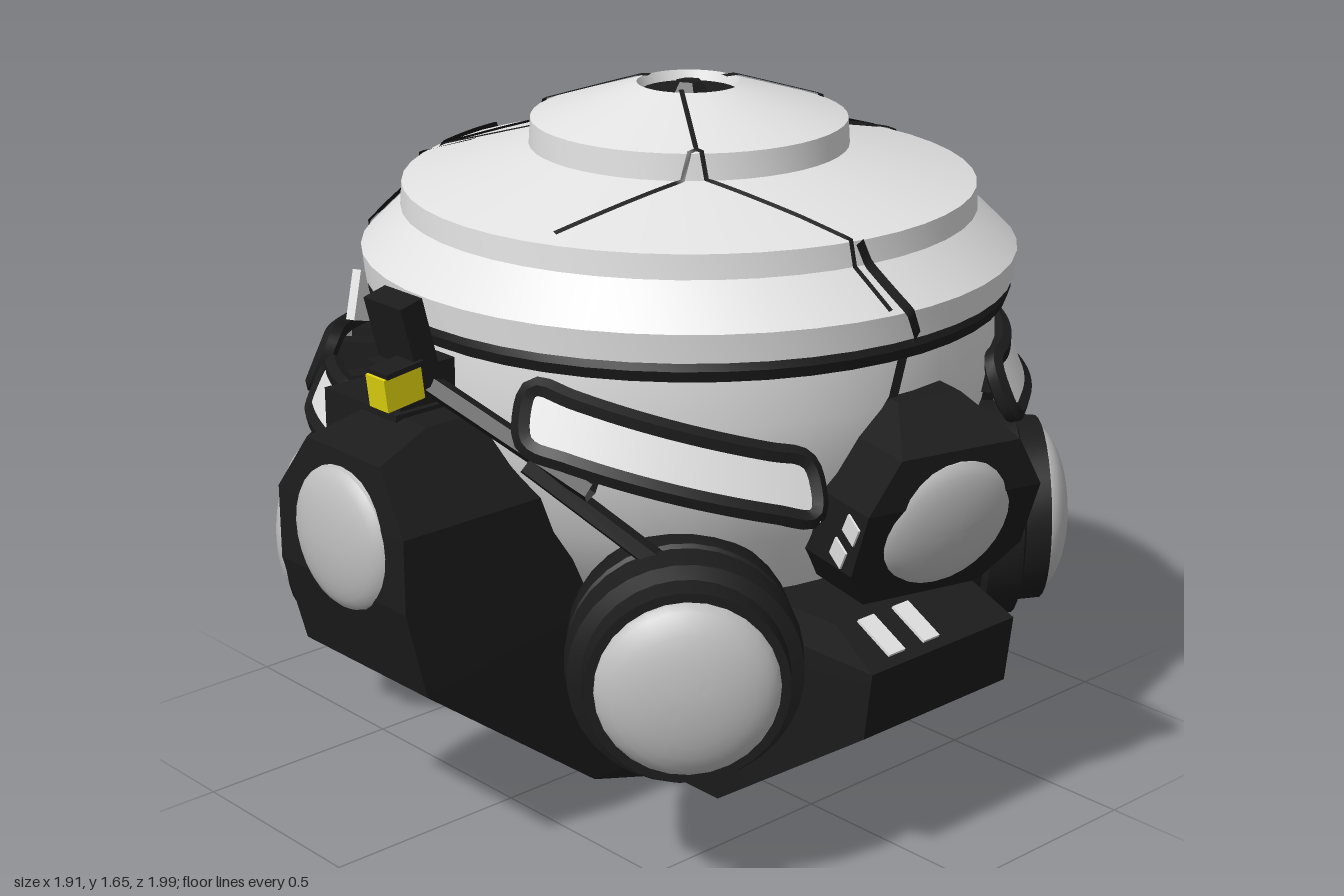
import * as THREE from 'three';
import { toCreasedNormals } from 'three/addons/utils/BufferGeometryUtils.js';

const mat = (name, color) => new THREE.MeshStandardMaterial({ name, color, side: THREE.DoubleSide });
const CX = 0.03, CZ = -0.04; // axis of the shell

// Outer silhouette of the shell, [radius, height], bottom to top
const LOWER = [[0.42, 0.5], [0.54, 0.62], [0.63, 0.76], [0.69, 0.92], [0.715, 1.06], [0.71, 1.18]];
const DOME = [[0.72, 1.2], [0.75, 1.215], [0.757, 1.28], [0.664, 1.37], [0.66, 1.425], [0.368, 1.505], [0.364, 1.565], [0.12, 1.643]];
const SHELL = [...LOWER, ...DOME];

// Interpolate column `to` of the silhouette from column `from`
function lookup(list, v, from, to) {
  for (let i = 1; i < list.length; i++) {
    const a = list[i - 1], b = list[i], k = (v - a[from]) / (b[from] - a[from]);
    if (k >= 0 && k <= 1) return a[to] + (b[to] - a[to]) * k;
  }
  return v < list[0][from] ? list[0][to] : list[list.length - 1][to];
}

export function createModel() {
  const root = new THREE.Group();
  const white = mat('offWhiteShell', 0xe2e2e2);
  const grey = mat('paleGreyLens', 0xc0c0c0);
  const dark = mat('charcoal', 0x1c1c1c);
  const yellow = mat('yellowLamp', 0xe0d410);

  function add(parent, name, geo, material, crease = 0.45) {
    const m = new THREE.Mesh(crease ? toCreasedNormals(geo, crease) : geo, material);
    m.name = name;
    parent.add(m);
    return m;
  }
  function addBox(parent, name, size, at, material, turn = [0, 0, 0]) {
    const m = add(parent, name, new THREE.BoxGeometry(...size), material);
    m.position.set(...at);
    m.rotation.set(...turn);
  }
  const group = (parent, name) => {
    const g = new THREE.Group();
    g.name = name;
    parent.add(g);
    return g;
  };
  const lathe = (pts, seg = 48) => new THREE.LatheGeometry(pts.map(p => new THREE.Vector2(...p)), seg);

  // Shell: body, stepped dome, belt, top vent
  const shell = group(root, 'shell');
  shell.position.set(CX, 0, CZ);
  add(shell, 'body', lathe(LOWER), white);
  add(shell, 'dome', lathe([...DOME.slice(1), [0.105, 1.6]]), white, 0.25);
  add(shell, 'belt', lathe([[0.7, 1.165], [0.738, 1.17], [0.746, 1.195], [0.738, 1.217], [0.7, 1.22]]), dark);
  add(shell, 'topVent', new THREE.CylinderGeometry(0.115, 0.115, 0.03, 32).translate(0, 1.605, 0), dark);
  add(shell, 'topVentHub', new THREE.CylinderGeometry(0.03, 0.05, 0.03, 6).translate(0, 1.63, 0), dark);
  add(root, 'underside', lathe([[0, 0.02], [0.3, 0.07], [0.5, 0.28], [0.5, 0.48], [0.4, 0.6]], 8), dark, 0.1);

  // Thin ribbon laid over the shell through the given surface points
  function ribbon(name, pts, width) {
    const pos = [], idx = [], hub = new THREE.Vector3(0, 0.95, 0);
    pts.forEach((p, i) => {
      const n = p.clone().sub(hub).normalize();
      const t = pts[Math.min(i + 1, pts.length - 1)].clone().sub(pts[Math.max(i - 1, 0)]);
      const s = t.cross(n).normalize().multiplyScalar(width / 2);
      const q = p.clone().addScaledVector(n, 0.006);
      pos.push(...q.clone().add(s).toArray(), ...q.clone().sub(s).toArray());
      const a = i * 2;
      if (i) idx.push(a - 2, a - 1, a, a - 1, a + 1, a);
    });
    const g = new THREE.BufferGeometry();
    g.setAttribute('position', new THREE.Float32BufferAttribute(pos, 3));
    g.setIndex(idx);
    g.computeVertexNormals();
    add(shell, name, g, dark, 0);
  }
  function trace(path, map) {
    const out = [];
    for (let i = 1; i < path.length; i++)
      for (let k = i > 1 ? 1 : 0; k <= 20; k++)
        out.push(map(...path[i].map((v, j) => path[i - 1][j] + (v - path[i - 1][j]) * k / 20)));
    return out;
  }
  // Dome cracks as plan points [x, z]
  const onDome = (x, z) => {
    const r = Math.hypot(x - CX, z - CZ);
    return new THREE.Vector3(x - CX, lookup(DOME.slice(2).reverse(), r, 0, 1), z - CZ);
  };
  [[0.026, [[-0.06, 0], [-0.3, 0.11], [-0.54, 0.23]]],
    [0.022, [[-0.54, 0.23], [-0.62, 0.02], [-0.69, -0.17]]],
    [0.024, [[0.06, -0.12], [0.12, -0.45], [0.06, -0.62], [0.04, -0.78]]],
    [0.018, [[0.06, -0.62], [-0.17, -0.38], [-0.33, -0.14], [-0.54, 0.23]]],
    [0.011, [[0.1, 0.05], [0.3, 0.19], [0.24, 0.54]]],
    [0.011, [[0.3, 0.19], [0.55, 0.12], [0.77, 0.07]]],
  ].forEach(([w, path]) => ribbon('domeCrack', trace(path, onDome), w));
  // Side cracks as [degrees from the front, height]
  const onSide = (deg, y) => {
    const a = THREE.MathUtils.degToRad(deg), r = lookup(SHELL, y, 1, 0);
    return new THREE.Vector3(Math.sin(a) * r, y, Math.cos(a) * r);
  };
  [[0.05, [[-62, 1.46], [-52, 1.3], [-49, 1.2]]],
    [0.09, [[-49, 1.2], [-44, 1.08], [-43, 0.95]]],
    [0.025, [[80, 1.42], [88, 1.2], [84, 1.05]]],
    [0.03, [[178, 1.3], [174, 1.18], [168, 0.95]]],
    [0.025, [[-100, 1.3], [-108, 1.15], [-112, 0.95]]],
  ].forEach(([w, path]) => ribbon('sideCrack', trace(path, onSide), w));
  // Loose shell piece beside the wide crack
  addBox(root, 'shellShard', [0.17, 0.12, 0.02], [-0.6, 1.09, 0.44], white, [-0.15, -0.9, 0.2]);

  // Tapered block from rows [height, outer, inner, half width]
  function block(rows) {
    const n = rows.length - 1, g = new THREE.BoxGeometry(1, 1, 1, 1, n, 1), p = g.attributes.position;
    for (let i = 0; i < p.count; i++) {
      const [y, out, inn, hw] = rows[Math.round((0.5 - p.getY(i)) * n)];
      p.setXYZ(i, Math.sign(p.getX(i)) * hw, y, p.getZ(i) > 0 ? out : inn);
    }
    return g;
  }
  const cap = (r, h) => new THREE.SphereGeometry(1, 28, 8, 0, Math.PI * 2, 0, Math.PI / 2).scale(r, h, r);

  // Four arms folded under the shell; the right one is snapped in two and twisted
  // lens is [height, reach, downward tilt]
  const ARMS = [
    { name: 'front', deg: 0, x: 0.01, yaw: 0, lens: [0.79, 0.955, 0], rows: [[1.03, 0.8, 0.62, 0.1], [0.985, 0.95, 0.6, 0.13],
      [0.85, 0.965, 0.58, 0.225], [0.68, 0.965, 0.5, 0.225], [0.47, 0.91, 0.4, 0.22], [0.1, 0.42, 0.1, 0.2], [0, 0.12, 0, 0.17]] },
    { name: 'right', deg: 90, x: 0.06, yaw: -0.25, lens: [0.82, 0.875, 0.28], rows: [[1.08, 0.8, 0.62, 0.08], [1, 0.93, 0.58, 0.15],
      [0.88, 0.915, 0.55, 0.22], [0.72, 0.85, 0.5, 0.22], [0.62, 0.79, 0.48, 0.15]] },
    { name: 'back', deg: 180, x: 0, yaw: 0, lens: [0.84, 0.935, 0.14], rows: [[1.04, 0.82, 0.62, 0.1], [1, 0.945, 0.6, 0.15],
      [0.88, 0.955, 0.58, 0.22], [0.66, 0.91, 0.5, 0.22], [0.45, 0.82, 0.4, 0.22], [0.17, 0.52, 0.1, 0.2], [0.02, 0.25, 0, 0.17]] },
    { name: 'left', deg: 270, x: -0.035, yaw: 0, lens: [0.85, 0.885, 0.2], rows: [[1.03, 0.74, 0.6, 0.1], [0.98, 0.87, 0.58, 0.15],
      [0.88, 0.905, 0.56, 0.22], [0.66, 0.86, 0.5, 0.22], [0.45, 0.82, 0.4, 0.22], [0.1, 0.36, 0.1, 0.2], [0.02, 0.12, 0, 0.17]] },
  ];
  const PIVOT = 0.7;
  ARMS.forEach(({ name, deg, x, yaw, lens: [y, z, tilt], rows }) => {
    const arm = group(root, name + 'Arm');
    arm.rotation.y = THREE.MathUtils.degToRad(deg);
    const head = group(arm, 'armHead');
    head.position.set(x, 0, PIVOT);
    head.rotation.y = yaw;
    add(head, 'armBody', block(rows), dark, 0.1).position.z = -PIVOT;
    const lens = add(head, 'armLens', cap(0.163, 0.05), grey);
    lens.position.set(0, y, z - PIVOT);
    lens.rotation.x = Math.PI / 2 + tilt;
    // Chipped paint on the damaged arms
    if (name === 'right' || name === 'back')
      [[0.83, 0.85], [0.76, 0.8]].forEach(([cy, cz]) => addBox(head, 'paintChip', [0.008, 0.05, 0.05], [-0.221, cy, cz - PIVOT], white, [0.5, 0, 0]));
    if (name !== 'right') return;
    const lower = [[0.59, 0.74, 0.4, 0.21], [0.52, 0.87, 0.4, 0.23], [0.36, 0.85, 0.3, 0.23], [0.02, 0.36, 0.1, 0.2], [0, 0.1, 0, 0.17]];
    add(arm, 'armLowerHalf', block(lower), dark, 0.1).position.x = 0.03;
    [-0.1, 0.01].forEach(cx => addBox(arm, 'paintChip', [0.05, 0.008, 0.11], [cx, 0.561, 0.8], white, [0.49, 0, 0]));
  });

  // Four diagonal thrusters with domed lenses
  [[0.77, 0.64, 0.54], [-0.8, 0.6, 0.51], [0.64, -0.77, 0.59], [-0.66, -0.75, 0.57]].forEach(([x, z, y]) => {
    const pod = group(root, 'thruster');
    pod.position.y = y;
    pod.quaternion.setFromUnitVectors(new THREE.Vector3(0, 1, 0), new THREE.Vector3(x, 0, z).normalize());
    add(pod, 'thrusterHousing', lathe([[0.15, 0.3], [0.16, 0.54], [0.23, 0.57], [0.25, 0.61], [0.255, 0.7], [0.235, 0.71],
      [0.235, 0.73], [0.26, 0.74], [0.255, 0.82], [0.225, 0.83], [0.22, 0.89], [0.19, 0.89]], 32), dark);
    add(pod, 'thrusterLens', cap(0.202, 0.08).translate(0, 0.88, 0), grey);
  });

  // Curved windows: bent plate leaning outward at the bottom, with a rounded frame
  [[48, 22, 1.02, 0.06, -0.17], [137, 20, 1, 0.06, 0], [-52, 12, 0.965, 0.06, 0.04],
    [-26, 8, 0.955, 0.055, 0], [-139, 16, 1, 0.058, 0], [-116, 3, 1, 0.05, 0]].forEach(([deg, half, y, hh, slope]) => {
    const win = group(root, 'window');
    const rad = THREE.MathUtils.degToRad, R = 0.805;
    const bend = (u, v, r) => {
      const a = rad(deg + u * half), lean = r - v * 0.025;
      return new THREE.Vector3(Math.sin(a) * lean, y + v * hh + u * slope / 2, Math.cos(a) * lean);
    };
    const pane = new THREE.PlaneGeometry(2, 2, 14, 1), p = pane.attributes.position;
    for (let i = 0; i < p.count; i++) p.setXYZ(i, ...bend(p.getX(i), p.getY(i), R + 0.015).toArray());
    pane.computeVertexNormals();
    add(win, 'windowPane', pane, white, 0);
    const loop = [], c = Math.min(0.3, 0.02 / (rad(half) * R));
    for (let i = 0; i <= 8; i++) loop.push(bend((1 - c) * (i / 4 - 1), 1, R));
    loop.push(bend(1, 0.7, R), bend(1, -0.7, R));
    for (let i = 0; i <= 8; i++) loop.push(bend((1 - c) * (1 - i / 4), -1, R));
    loop.push(bend(-1, -0.7, R), bend(-1, 0.7, R));
    add(win, 'windowFrame', new THREE.TubeGeometry(new THREE.CatmullRomCurve3(loop, true), 80, 0.024, 6, true), dark, 0.9);
    // Short brackets hold the window off the body
    [-0.6, 0.6].forEach(u => addBox(win, 'windowBracket', [0.05, 0.08, 0.12], bend(u, 0, 0.73).toArray(), dark, [0, rad(deg + u * half), 0]));
  });

  // Hooded lamp on its bent bracket, with broken struts
  const lamp = group(root, 'lamp');
  addBox(lamp, 'lampBracket', [0.13, 0.2, 0.06], [0.005, 1.2, 0.775], dark, [0.25, 0, 0]);
  addBox(lamp, 'lampBase', [0.12, 0.09, 0.15], [0, 1.105, 0.755], dark);
  addBox(lamp, 'lampFoot', [0.26, 0.1, 0.14], [-0.1, 0.99, 0.75], dark);
  addBox(lamp, 'lampLight', [0.065, 0.075, 0.1], [0.045, 1.115, 0.83], yellow, [0.12, 0, 0]);
  addBox(lamp, 'lampHood', [0.07, 0.012, 0.1], [0.045, 1.158, 0.828], dark, [0.12, 0, 0]);
  [[[0.05, 1.1, 0.74], [0.44, 0.93, 0.62]], [[-0.04, 1.12, 0.73], [-0.2, 0.96, 0.72]], [[0.3, 0.97, 0.68], [0.55, 0.75, 0.5]]].forEach(([a, b]) => {
    const path = new THREE.LineCurve3(new THREE.Vector3(...a), new THREE.Vector3(...b));
    add(lamp, 'brokenStrut', new THREE.TubeGeometry(path, 1, 0.026, 5), dark);
  });
  return root;
}
